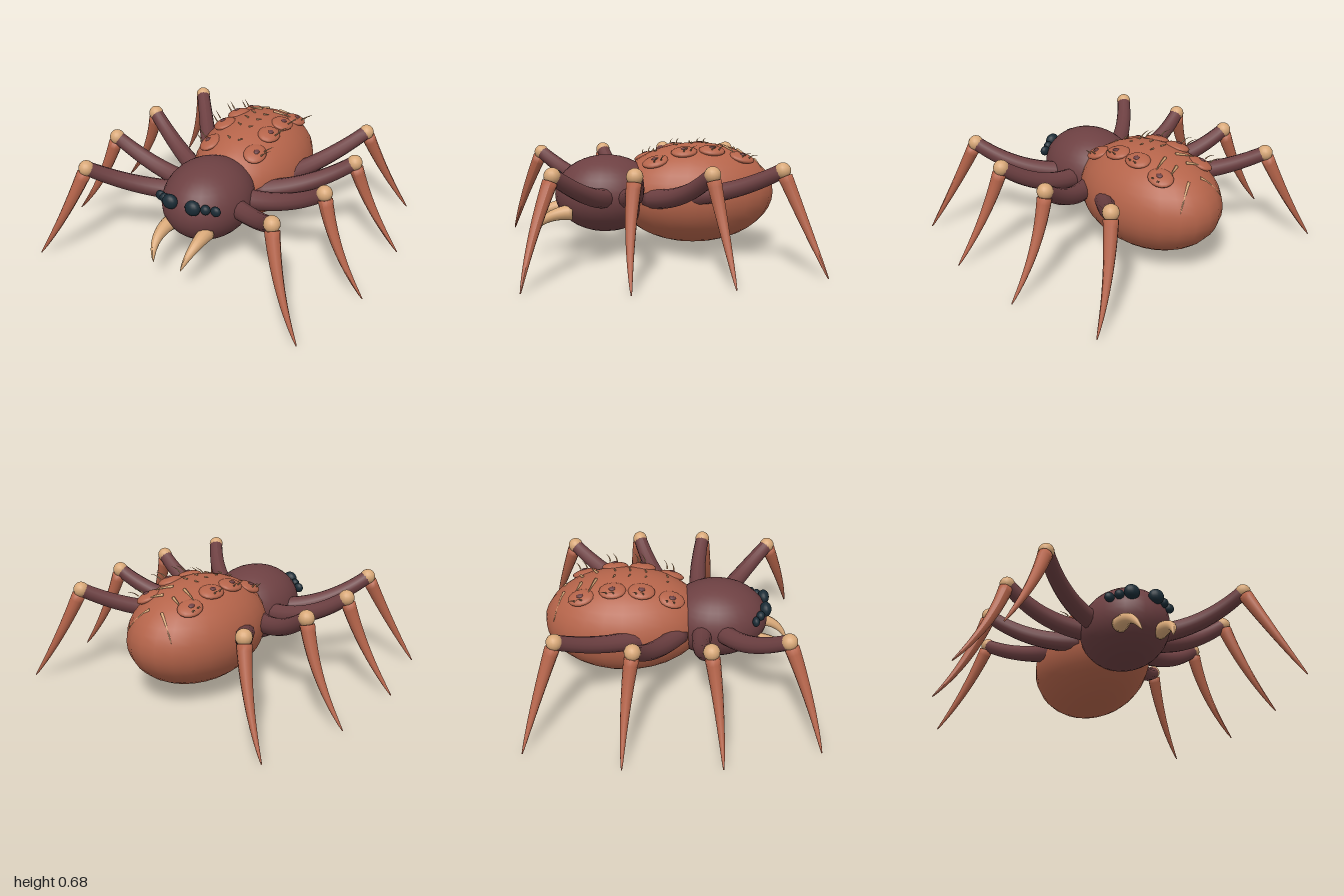
import * as THREE from 'three';

const mat = (name, color) => {
  const m = new THREE.MeshStandardMaterial({ color });
  m.name = name;
  return m;
};
const V = (p) => new THREE.Vector3(...p);

// Tube along a smooth curve whose radius follows a rule, with a closed base
function taperedTube(curve, radius, segments = 14, sides = 12) {
  const geo = new THREE.TubeGeometry(curve, segments, 1, sides, false);
  const pos = geo.attributes.position;
  const v = new THREE.Vector3();
  for (let i = 0; i <= segments; i++) {
    const centre = curve.getPointAt(i / segments);
    const seat = curve.getPointAt(Math.max(i, 1) / segments);
    const r = i === 0 ? 0 : radius(i / segments);
    for (let j = 0; j <= sides; j++) {
      const k = i * (sides + 1) + j;
      v.fromBufferAttribute(pos, k).sub(centre).multiplyScalar(r).add(seat);
      pos.setXYZ(k, v.x, v.y, v.z);
    }
  }
  geo.computeVertexNormals();
  return geo;
}
const bend = (a, b, c) => new THREE.QuadraticBezierCurve3(V(a), V(b), V(c));

// Abdomen ellipsoid, also used to seat details on its back
const C = [0, 0.363, -0.28], R = [0.345, 0.307, 0.49];
const backHeight = (x, z) =>
  C[1] + R[1] * Math.sqrt(Math.max(0, 1 - (x / R[0]) ** 2 - ((z - C[2]) / R[2]) ** 2));

export function createModel() {
  const rust = mat('rust', 0xb5644a);
  const brown = mat('darkBrown', 0x6d4042);
  const tan = mat('tan', 0xd8a878);
  const black = mat('eyeBlack', 0x1a2b35);

  const model = new THREE.Group();
  model.name = 'spider';
  const add = (name, geo, material, parent = model) => {
    const m = new THREE.Mesh(geo, material);
    m.name = name;
    parent.add(m);
    return m;
  };
  const ball = (name, centre, size, material, parent, w = 16, h = 12) => {
    const m = add(name, new THREE.SphereGeometry(1, w, h), material, parent);
    m.position.set(...centre);
    m.scale.set(...size);
    return m;
  };

  // Body
  ball('abdomen', C, R, rust, model, 24, 20);
  ball('head', [0, 0.372, 0.275], [0.26, 0.233, 0.31], brown, model, 28, 20);

  // Leg joints for the left side: hip, thigh bend, knee, shin bend, tip
  const legs = [
    ['frontLeg', [0.13, 0.37, 0.27], [0.42, 0.37, 0.40], [0.605, 0.565, 0.635], [0.70, 0.26, 0.76], [0.86, 0.005, 0.82]],
    ['secondLeg', [0.13, 0.37, 0.19], [0.45, 0.36, 0.145], [0.705, 0.565, 0.21], [0.79, 0.26, 0.26], [0.997, 0.005, 0.275]],
    ['thirdLeg', [0.15, 0.36, 0.07], [0.45, 0.36, -0.11], [0.705, 0.565, -0.21], [0.79, 0.26, -0.26], [0.997, 0.005, -0.27]],
    ['rearLeg', [0.15, 0.36, 0.0], [0.39, 0.37, -0.36], [0.605, 0.565, -0.635], [0.70, 0.26, -0.745], [0.86, 0.005, -0.82]],
  ];

  for (const s of [1, -1]) {
    const side = s > 0 ? 'left' : 'right';
    const m = ([x, y, z]) => [x * s, y, z];

    for (const [name, hip, thigh, knee, shin, tip] of legs) {
      const leg = new THREE.Group();
      leg.name = side + name[0].toUpperCase() + name.slice(1);
      model.add(leg);
      add('thigh', taperedTube(bend(m(hip), m(thigh), m(knee)), (t) => 0.062 - 0.02 * t), brown, leg);
      ball('knee', m(knee), [0.046, 0.046, 0.046], tan, leg);
      add('shin', taperedTube(bend(m(knee), m(shin), m(tip)),
        (t) => 0.003 + 0.041 * (1 - t) ** 0.8, 18), rust, leg);
    }

    // Fang
    add(side + 'Fang', taperedTube(bend(m([0.12, 0.28, 0.475]), m([0.135, 0.285, 0.68]), m([0.09, 0.145, 0.73])),
      (t) => 0.001 + 0.05 * (1 - t) ** 0.75), tan);

    // Eyes, from large inner to small outer
    ball(side + 'LargeEye', m([0.075, 0.463, 0.565]), [0.047, 0.045, 0.035], black);
    ball(side + 'MiddleEye', m([0.137, 0.452, 0.53]), [0.029, 0.029, 0.026], black);
    ball(side + 'OuterEye', m([0.185, 0.44, 0.5]), [0.031, 0.03, 0.022], black);

    // Raised spots with a dark centre and curved bristles
    for (const z of [0, -0.175, -0.345, -0.53]) {
      const x = 0.155, y = backHeight(x, z);
      const spot = new THREE.Group();
      spot.name = side + 'BackSpot';
      spot.position.set(x * s, y, z);
      const normal = new THREE.Vector3(s * x / R[0] ** 2, (y - C[1]) / R[1] ** 2, (z - C[2]) / R[2] ** 2);
      normal.normalize().add(new THREE.Vector3(0, 0.7, 0)).normalize();
      spot.quaternion.setFromUnitVectors(new THREE.Vector3(0, 1, 0), normal);
      model.add(spot);
      ball('spotDisc', [0, 0, 0], [0.066, 0.025, 0.08], rust, spot);
      ball('spotCentre', [0.008 * s, 0.023, 0], [0.016, 0.008, 0.02], brown, spot, 12, 8);
      for (const dz of [0.012, -0.03]) {
        add('spotBristle', taperedTube(bend([0.04 * s, 0.01, dz], [0.055 * s, 0.05, dz], [0.085 * s, 0.065, dz - 0.03]),
          (t) => 0.0005 + 0.005 * (1 - t), 6, 6), tan, spot);
      }
    }

    // Paired spines along the middle of the back: start z, length, backward sweep
    for (const [z, reach, sweep] of [[0, 0.03, 0.01], [-0.13, 0.03, 0.01], [-0.225, 0.035, 0.01],
      [-0.315, 0.04, 0.012], [-0.42, 0.13, 0.05], [-0.51, 0.1, 0.04], [-0.61, 0.14, 0.07]].map(
      ([a, b, c]) => [a - 0.02, b, c])) {
      const at = (t, lift) => {
        const x = 0.025 + reach * t, zz = z - sweep * t;
        return m([x, backHeight(x, zz) + lift, zz]);
      };
      add(side + 'BackSpine', taperedTube(bend(at(0, 0.002), at(0.5, 0.008), at(1, 0.012)),
        (t) => 0.001 + (reach > 0.05 ? 0.009 : 0.005) * (1 - t) ** 0.8, 8, 6), tan);
    }
  }
  return model;
}
